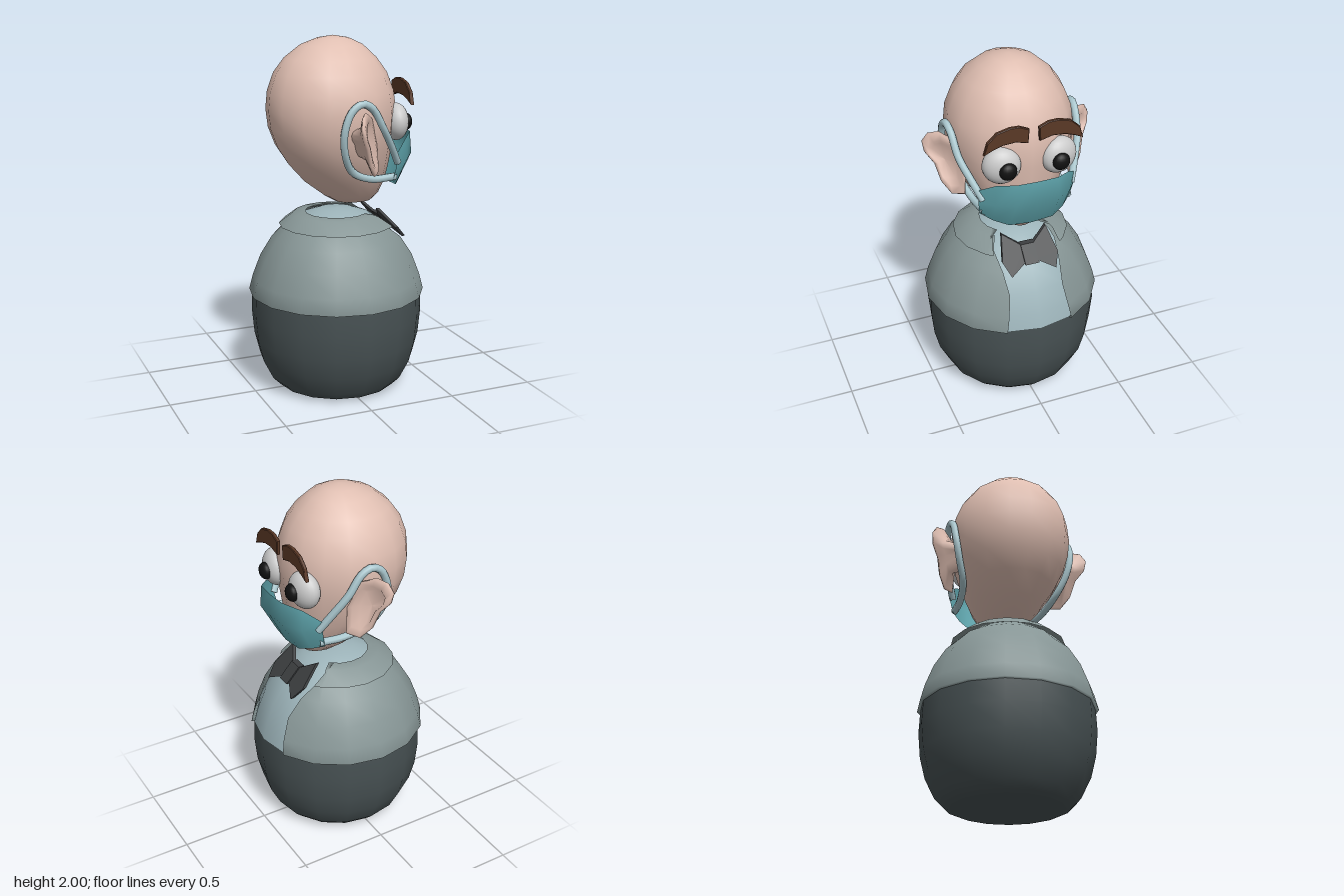
import * as THREE from 'three';
import { mergeVertices } from 'three/addons/utils/BufferGeometryUtils.js';

const COLORS = {
  skin: 0xe0bfb2, jacket: 0x879696, shirt: 0x9db4ba, trousers: 0x475153, tie: 0x3c3e40,
  mask: 0x5fa5ad, strap: 0xabc8cf, brow: 0x5a3826, white: 0xdcdcdc, black: 0x111111,
};
const SIDES = 16;
const vec2 = (pts) => pts.map(([x, y]) => new THREE.Vector2(x, y));

function part(group, name, geometry, color, double = false) {
  const material = new THREE.MeshStandardMaterial({ color: COLORS[color] });
  if (double) material.side = THREE.DoubleSide;
  const mesh = new THREE.Mesh(geometry, material);
  mesh.name = name;
  group.add(mesh);
  return mesh;
}

// Moves every vertex by a rule that edits the vector in place
function warp(geometry, rule) {
  const p = geometry.attributes.position;
  const v = new THREE.Vector3();
  for (let i = 0; i < p.count; i++) {
    v.fromBufferAttribute(p, i);
    rule(v, i);
    p.setXYZ(i, v.x, v.y, v.z);
  }
  return geometry;
}

// Welds seams and shares normals
function smooth(geometry) {
  geometry.deleteAttribute('uv');
  geometry.deleteAttribute('normal');
  const g = mergeVertices(geometry, 1e-4);
  g.computeVertexNormals();
  return g;
}

// Grid surface from rows of points, optionally closed around each row
function skin(rows, closed, flip) {
  const n = rows[0].length;
  const index = [];
  for (let i = 0; i < rows.length - 1; i++) {
    for (let j = 0; j < (closed ? n : n - 1); j++) {
      const k = (j + 1) % n;
      const [a, b, c, d] = [i * n + j, i * n + k, (i + 1) * n + k, (i + 1) * n + j];
      index.push(...(flip ? [a, c, b, a, d, c] : [a, b, c, a, c, d]));
    }
  }
  const g = new THREE.BufferGeometry();
  g.setAttribute('position', new THREE.Float32BufferAttribute(rows.flat(2), 3));
  g.setIndex(index);
  g.computeVertexNormals();
  return g;
}

// Flat plate facing +x from [z, y] corners
function plate(points, x, depth, bevel) {
  const g = new THREE.ExtrudeGeometry(new THREE.Shape(vec2(points.map(([z, y]) => [-z, y]))), {
    depth, bevelEnabled: bevel > 0, bevelSize: bevel, bevelThickness: bevel, bevelSegments: 1,
  });
  return g.rotateY(Math.PI / 2).translate(x, 0, 0);
}

// Lathe left open at the front; half-angle of the opening is given per profile point
function openLathe(profile, gaps) {
  const segments = SIDES - 2;
  const g = new THREE.LatheGeometry(vec2(profile), segments, Math.PI * 5 / 8, Math.PI * 7 / 4);
  warp(g, (v, i) => {
    const column = Math.floor(i / profile.length);
    if (column > 0 && column < segments) return;
    const [r] = profile[i % profile.length];
    const a = THREE.MathUtils.degToRad(gaps[i % profile.length]);
    v.x = r * Math.cos(a);
    v.z = r * Math.sin(a) * (column === 0 ? -1 : 1);
  });
  g.computeVertexNormals();
  return g;
}

function buildBody(group) {
  part(group, 'trousers', new THREE.LatheGeometry(vec2([
    [0, 0], [0.31, 0], [0.31, 0], [0.345, 0.015], [0.39, 0.06], [0.445, 0.17], [0.475, 0.29], [0.488, 0.43], [0.482, 0.555],
  ]), SIDES), 'trousers');
  part(group, 'shirt', new THREE.LatheGeometry(vec2([
    [0.482, 0.555], [0.46, 0.64], [0.415, 0.76], [0.345, 0.87], [0.26, 0.95], [0.19, 1.0], [0.1, 1.03], [0, 1.037],
  ]), SIDES), 'shirt');
  part(group, 'jacket', openLathe(
    [[0.478, 0.55], [0.5, 0.555], [0.478, 0.64], [0.432, 0.76], [0.365, 0.87], [0.285, 0.95], [0.21, 1.0]],
    [22.5, 22.5, 21.5, 21, 27, 39, 50]), 'jacket', true);
  part(group, 'collar', openLathe(
    [[0.325, 0.945], [0.24, 1.01], [0.175, 1.015]], [37, 48, 55]), 'jacket', true);

  // Bow tie, sloped to lie along the chest
  const slope = (g) => {
    warp(g, (v) => { v.x += (0.95 - v.y) * 0.92; });
    g.computeVertexNormals();
    return g;
  };
  for (const s of [1, -1]) {
    const wing = [[0.02, 0.97], [0.13, 1.04], [0.163, 0.925], [0.13, 0.86], [0.02, 0.915]];
    part(group, 'bowWing', slope(plate(wing.map(([z, y]) => [z * s, y]), 0.27, 0.02, 0)), 'tie');
  }
  part(group, 'bowKnot', slope(plate(
    [[0.04, 0.985], [0.04, 0.9], [-0.04, 0.9], [-0.04, 0.985]], 0.265, 0.035, 0)), 'tie');
}

function buildHead(group) {
  // y, back x, front x, half width
  const rows = [
    [1.055, 0.1, 0.1, 0], [1.07, 0.0, 0.21, 0.075], [1.11, -0.07, 0.25, 0.125], [1.2, -0.19, 0.285, 0.2],
    [1.3, -0.28, 0.3, 0.265], [1.4, -0.345, 0.312, 0.31], [1.5, -0.383, 0.325, 0.337], [1.6, -0.395, 0.33, 0.346],
    [1.7, -0.385, 0.315, 0.335], [1.8, -0.35, 0.278, 0.295], [1.88, -0.29, 0.22, 0.24], [1.95, -0.2, 0.145, 0.16],
    [1.985, -0.11, 0.07, 0.085], [2.0, -0.02, -0.02, 0],
  ];
  const head = new THREE.LatheGeometry(vec2(rows.map((r) => [r[3], r[0]])), SIDES);
  warp(head, (v, i) => {
    const [y, back, front, w] = rows[i % rows.length];
    const front01 = w > 0 ? v.x / w : 0;
    v.x = (back + front) / 2 + front01 * (front - back) / 2;
    if (y === 1.11 && front01 > 0.99) v.x -= 0.02; // chin cleft
  });
  part(group, 'head', smooth(head), 'skin');

  for (const s of [1, -1]) {
    const eye = part(group, 'eye', new THREE.SphereGeometry(0.103, 24, 16), 'white');
    eye.scale.set(0.66, 1, 1);
    eye.rotation.y = -s * 0.2;
    eye.position.set(0.29, 1.53, s * 0.16);
    const pupil = part(group, 'pupil', new THREE.SphereGeometry(0.048, 16, 12), 'black');
    pupil.scale.x = 0.7;
    pupil.position.set(0.356, 1.525, s * 0.147);

    const brow = [[0.035, 1.665], [0.03, 1.738], [0.08, 1.76], [0.13, 1.762], [0.2, 1.745], [0.25, 1.7],
      [0.27, 1.638], [0.23, 1.658], [0.17, 1.678], [0.1, 1.683]];
    part(group, 'eyebrow', plate(brow.map(([z, y]) => [z * s, y]), 0.326, 0.014, 0.004), 'brow');
    buildEar(group, s);
  }
}

function buildEar(group, s) {
  const outline = [[0.33, 1.59], [0.4, 1.628], [0.45, 1.61], [0.48, 1.56], [0.472, 1.5],
    [0.43, 1.44], [0.405, 1.34], [0.36, 1.275], [0.3, 1.285], [0.29, 1.44]];
  // scale about the middle, forward offset, outward offset: base, rim, hollow
  const rings = [[0.4, -0.05, -0.09], [0.5, -0.03, -0.02], [0.95, -0.012, 0], [1, 0, 0],
    [0.95, 0.012, 0], [0.72, 0.012, 0], [0.55, -0.015, -0.005], [0.001, -0.02, -0.01]];
  const rows = rings.map(([k, dx, dz]) => outline.map(([z0, y0]) => {
    const z = 0.385 + (z0 - 0.385) * k;
    const y = 1.46 + (y0 - 1.46) * k;
    return [0.05 - 0.75 * (z - 0.36) - 0.12 * (y - 1.45) + dx, y, s * (z + dz)];
  }));
  part(group, 'ear', skin(rows, true, s < 0), 'skin');
}

function buildMask(group) {
  // half columns of [x, y, z], middle to side, each from top to bottom
  const half = [
    [[0.412, 1.467, 0], [0.417, 1.345, 0], [0.322, 1.16, 0]],
    [[0.4, 1.462, 0.115], [0.408, 1.34, 0.12], [0.312, 1.165, 0.125]],
    [[0.325, 1.435, 0.205], [0.335, 1.32, 0.21], [0.275, 1.19, 0.2]],
    [[0.25, 1.38, 0.27], [0.243, 1.3, 0.272], [0.226, 1.22, 0.26]],
  ];
  const other = half.slice(1).reverse().map((c) => c.map(([x, y, z]) => [x, y, -z]));
  part(group, 'mask', skin([...other, ...half], false, true), 'mask', true);

  // Loops behind the ears
  const loop = [[0.26, 1.32, 0.25], [0.2, 1.42, 0.295], [0.13, 1.53, 0.338], [0.06, 1.64, 0.352], [0, 1.668, 0.358],
    [-0.06, 1.63, 0.358], [-0.1, 1.52, 0.352], [-0.085, 1.4, 0.325], [-0.02, 1.29, 0.28], [0.1, 1.24, 0.255], [0.25, 1.24, 0.24]];
  for (const s of [1, -1]) {
    const path = new THREE.CatmullRomCurve3(loop.map(([x, y, z]) => new THREE.Vector3(x, y, s * z)));
    part(group, 'earLoop', new THREE.TubeGeometry(path, 40, 0.021, 8), 'strap', true);
  }
}

export function createModel() {
  const model = new THREE.Group();
  model.name = 'maskedFigure';
  for (const [name, build] of [['body', buildBody], ['head', buildHead], ['faceMask', buildMask]]) {
    const group = new THREE.Group();
    group.name = name;
    build(group);
    model.add(group);
  }
  return model;
}
